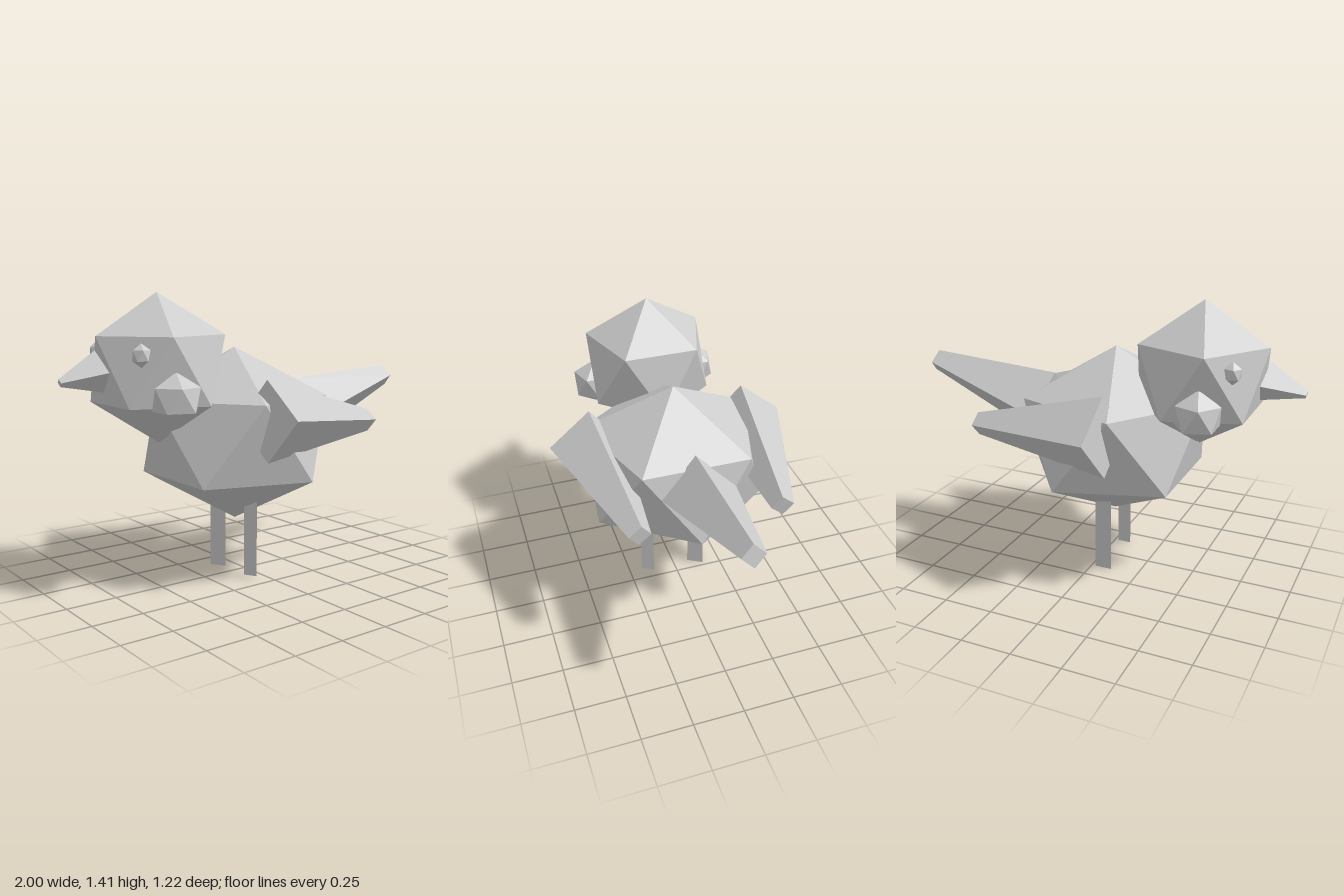
import * as THREE from 'three';

export function createModel() {
  const bird = new THREE.Group();
  bird.name = 'bird';
  const grey = new THREE.MeshStandardMaterial({ color: 0xcccccc, flatShading: true });
  grey.name = 'light grey';

  function add(name, geometry, x, y, z) {
    const mesh = new THREE.Mesh(geometry, grey);
    mesh.name = name;
    mesh.position.set(x, y, z);
    bird.add(mesh);
    return mesh;
  }

  // Icosahedron standing on one corner, with an upper ring corner towards the beak
  function ball(name, x, y, z, width, height = width) {
    const geometry = new THREE.IcosahedronGeometry(1, 0);
    geometry.rotateZ(Math.atan(2 / (1 + Math.sqrt(5))));
    geometry.scale(width, height, width);
    return add(name, geometry, x, y, z);
  }

  // Four-sided tapered spike with a diamond section, running from one point to another
  function spike(name, from, to, r0, r1) {
    const a = new THREE.Vector3(...from);
    const b = new THREE.Vector3(...to);
    const dir = b.clone().sub(a);
    const mid = a.clone().add(b).multiplyScalar(0.5);
    const mesh = add(name, new THREE.CylinderGeometry(r1, r0, dir.length(), 4), mid.x, mid.y, mid.z);
    mesh.quaternion.setFromUnitVectors(new THREE.Vector3(0, 1, 0), dir.normalize());
    return mesh;
  }

  // Body and head
  ball('body', -0.065, 0.7125, 0, 0.512, 0.4325);
  ball('head', -0.505, 1.06, 0, 0.352, 0.35);

  // Beak and tail
  spike('beak', [-0.805, 1.06, 0], [-0.996, 1.02, 0], 0.097, 0.018);
  spike('tail', [0.32, 0.783, 0], [0.986, 0.95, 0], 0.188, 0.056);

  // Paired eyes, cheeks and wings
  for (const [side, s] of [['Near', 1], ['Far', -1]]) {
    ball('eye' + side, -0.705, 1.137, s * 0.2, 0.045, 0.053);
    ball('cheek' + side, -0.575, 0.945, s * 0.272, 0.12);
    spike('wing' + side, [-0.185, 0.83, s * 0.42], [0.522, 0.77, s * 0.345], 0.19, 0.055);
  }

  // Three-sided legs
  for (const [name, z, r, bottom] of [['legNear', 0.145, 0.04, 0.015], ['legFar', -0.13, 0.05, 0]]) {
    const height = 0.45 - bottom;
    add(name, new THREE.CylinderGeometry(r, r, height, 3), -0.064, bottom + height / 2, z);
  }

  return bird;
}
